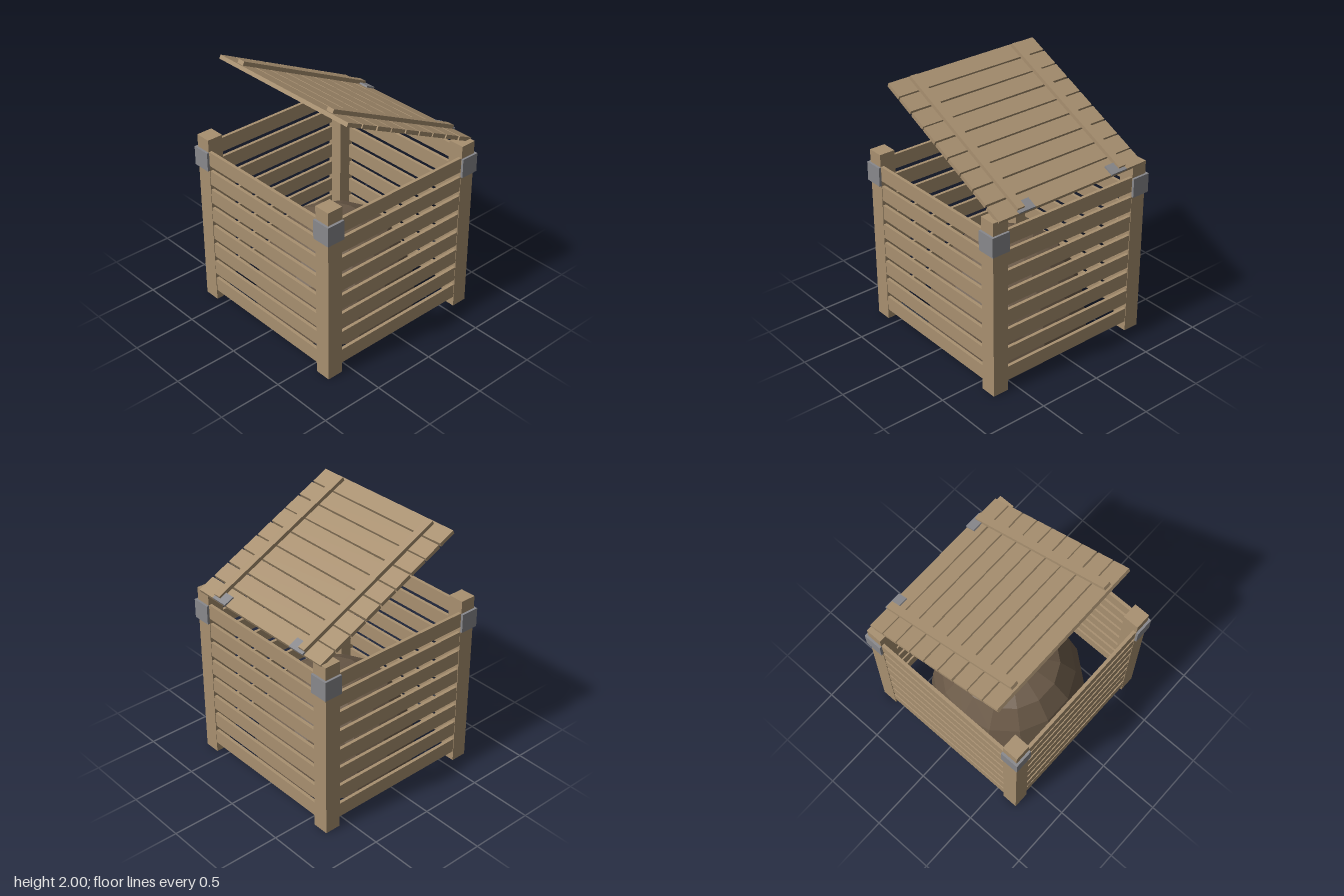
import * as THREE from 'three';

const wood = new THREE.MeshStandardMaterial({ color: 0xa89070 });
const metal = new THREE.MeshStandardMaterial({ color: 0x88888c });
const compost = new THREE.MeshStandardMaterial({ color: 0x6b5a48, flatShading: true });

// Small repeatable wobble in -1..1
let seed = 7;
function wobble() {
  seed = (seed * 16807) % 2147483647;
  return (seed / 2147483647) * 2 - 1;
}

function box(parent, name, material, size, position) {
  const mesh = new THREE.Mesh(new THREE.BoxGeometry(...size), material);
  mesh.name = name;
  mesh.position.set(...position);
  parent.add(mesh);
  return mesh;
}

export function createModel() {
  const model = new THREE.Group();
  model.name = 'slattedCompostBin';

  // Corner posts, each wrapped on its two outer faces by a metal bracket
  for (const sx of [-1, 1]) {
    for (const sz of [-1, 1]) {
      box(model, 'cornerPost', wood, [0.126, 1.4, 0.126], [sx * 0.637, 0.7, sz * 0.637]);
      const bracket = new THREE.Group();
      bracket.name = 'cornerBracket';
      box(bracket, 'bracketPlateZ', metal, [0.146, 0.15, 0.018], [sx * 0.645, 1.225, sz * 0.709]);
      box(bracket, 'bracketPlateX', metal, [0.018, 0.15, 0.146], [sx * 0.709, 1.225, sz * 0.645]);
      model.add(bracket);
    }
  }

  // Four walls of eight horizontal slats
  for (let side = 0; side < 4; side++) {
    const wall = new THREE.Group();
    wall.name = 'slatWall';
    wall.rotation.y = side * Math.PI / 2;
    for (let i = 0; i < 8; i++) {
      const slat = box(wall, 'slat', wood, [1.18, 0.115, 0.025], [0, 0.139 + i * 0.1583, 0.684]);
      slat.rotation.y = wobble() * 0.003;
    }
    model.add(wall);
  }

  // Faceted compost heap
  const profile = [[0, 0], [0.615, 0], [0.59, 0.22], [0.52, 0.43], [0.395, 0.615], [0.2, 0.715], [0, 0.75]]
    .map(([r, y]) => new THREE.Vector2(r, y));
  const heap = new THREE.Mesh(new THREE.LatheGeometry(profile, 14, Math.PI / 2), compost);
  heap.name = 'compostHeap';
  model.add(heap);

  // Open lid, hinged at the back
  const lid = new THREE.Group();
  lid.name = 'lid';
  lid.position.set(0, 1.678, -0.105);
  lid.rotation.x = -0.447;
  for (let i = 0; i < 9; i++) {
    const plank = box(lid, 'lidPlank', wood, [1.315, 0.03, 0.136], [0, 0, (i - 4) * 0.149]);
    plank.rotation.y = wobble() * 0.004;
  }
  for (const sx of [-1, 1]) {
    box(lid, 'lidBatten', wood, [0.06, 0.03, 1.29], [sx * 0.461, 0.03, 0]);
    box(lid, 'lidHinge', metal, [0.14, 0.015, 0.085], [sx * 0.42, 0.02, -0.627]);
  }
  model.add(lid);

  return model;
}
